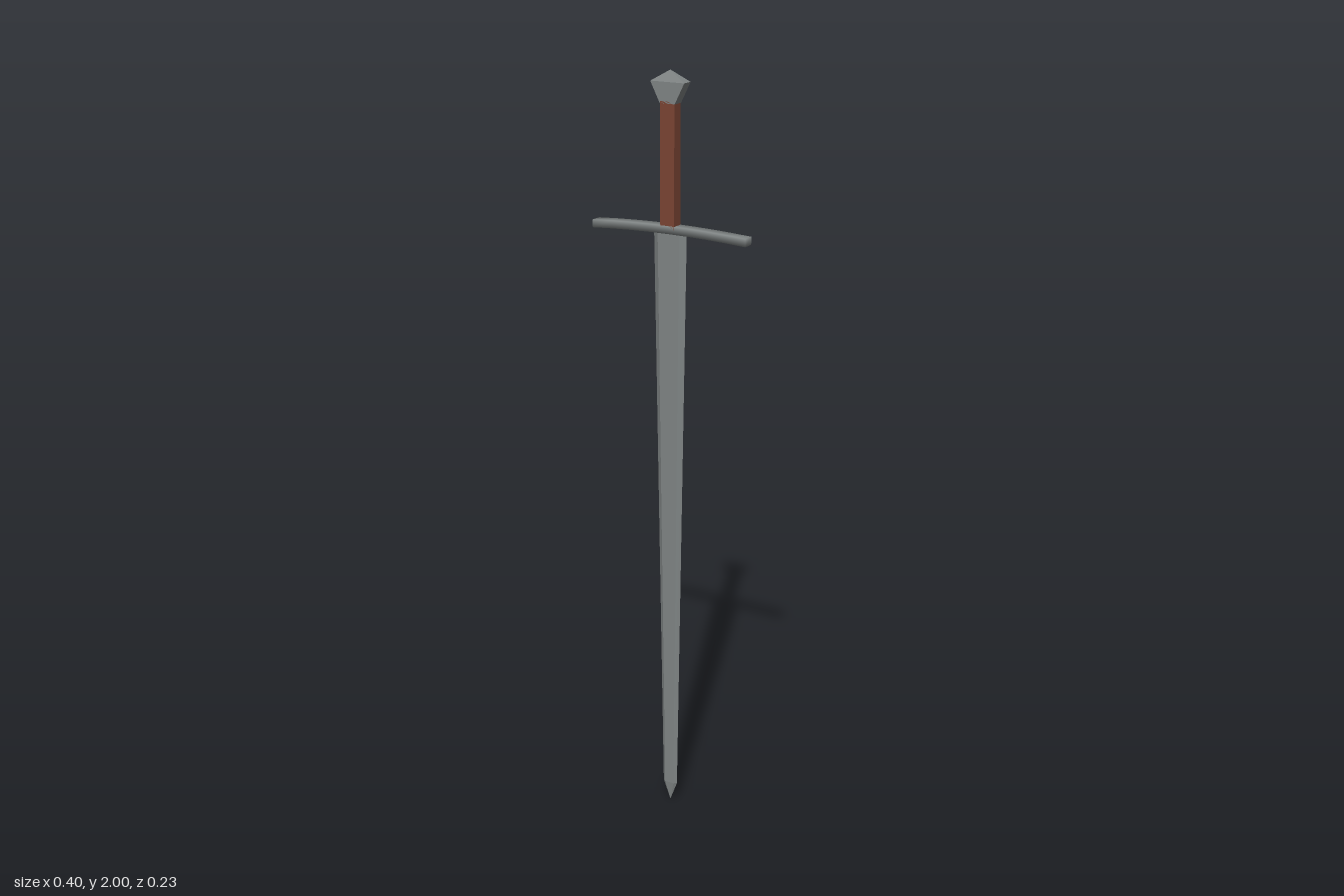
import * as THREE from 'three';
import { mergeVertices } from 'three/addons/utils/BufferGeometryUtils.js';

const steel = new THREE.MeshStandardMaterial({ color: 0x7f8484 });
steel.name = 'steel';
const leather = new THREE.MeshStandardMaterial({ color: 0x7a4433 });
leather.name = 'brown leather';

// Faceted solid from stacked cross-sections: each ring is { y, points: [[x, z], ...] }
function loft(rings) {
  const pos = [];
  const n = rings[0].points.length;
  const at = (r, j) => [r.points[j % n][0], r.y, r.points[j % n][1]];
  for (let i = 0; i < rings.length - 1; i++) {
    const lo = rings[i], up = rings[i + 1];
    for (let j = 0; j < n; j++) {
      pos.push(...at(lo, j), ...at(up, j), ...at(lo, j + 1));
      pos.push(...at(lo, j + 1), ...at(up, j), ...at(up, j + 1));
    }
  }
  const geo = new THREE.BufferGeometry();
  geo.setAttribute('position', new THREE.Float32BufferAttribute(pos, 3));
  geo.computeVertexNormals();
  return geo;
}

// Rectangular cross-section with half sizes a (x) and b (z)
const rect = (y, a, b) => ({ y, points: [[a, -b], [a, b], [-a, b], [-a, -b]] });

// Flat-faced blade cross-section with bevelled edges
function bladeSection(y, w, flat, t) {
  return { y, points: [[w, 0], [flat, t], [-flat, t], [-w, 0], [-flat, -t], [flat, -t]] };
}

function createModel() {
  const sword = new THREE.Group();
  sword.name = 'sword';

  function add(name, geometry, material) {
    const mesh = new THREE.Mesh(geometry, material);
    mesh.name = name;
    sword.add(mesh);
  }

  // Blade, tapering down to a short point
  add('blade', loft([
    bladeSection(0, 0, 0, 0),
    bladeSection(0.055, 0.021, 0.013, 0.006),
    bladeSection(1.605, 0.047, 0.031, 0.01),
  ]), steel);

  // Crossguard, a bar bowed slightly down at its ends, with soft normals
  let guard = new THREE.BoxGeometry(0.438, 0.02, 0.031, 8, 1, 1);
  guard.deleteAttribute('normal');
  guard.deleteAttribute('uv');
  guard = mergeVertices(guard);
  const p = guard.attributes.position;
  for (let i = 0; i < p.count; i++) {
    p.setY(i, p.getY(i) + 1.61 - 0.16 * p.getX(i) ** 2);
  }
  guard.computeVertexNormals();
  add('crossguard', guard, steel);

  // Grip
  add('grip', loft([rect(1.61, 0.02, 0.0155), rect(1.925, 0.02, 0.0155)]), leather);

  // Pommel, flaring upward and closed by a low pyramid
  add('pommel', loft([
    rect(1.92, 0, 0),
    rect(1.92, 0.021, 0.0155),
    rect(1.972, 0.0475, 0.0155),
    rect(2, 0, 0),
  ]), steel);

  // The whole sword is turned about its long axis
  sword.rotation.y = -0.47;
  const model = new THREE.Group();
  model.name = 'swordModel';
  model.add(sword);
  return model;
}

export { createModel };
